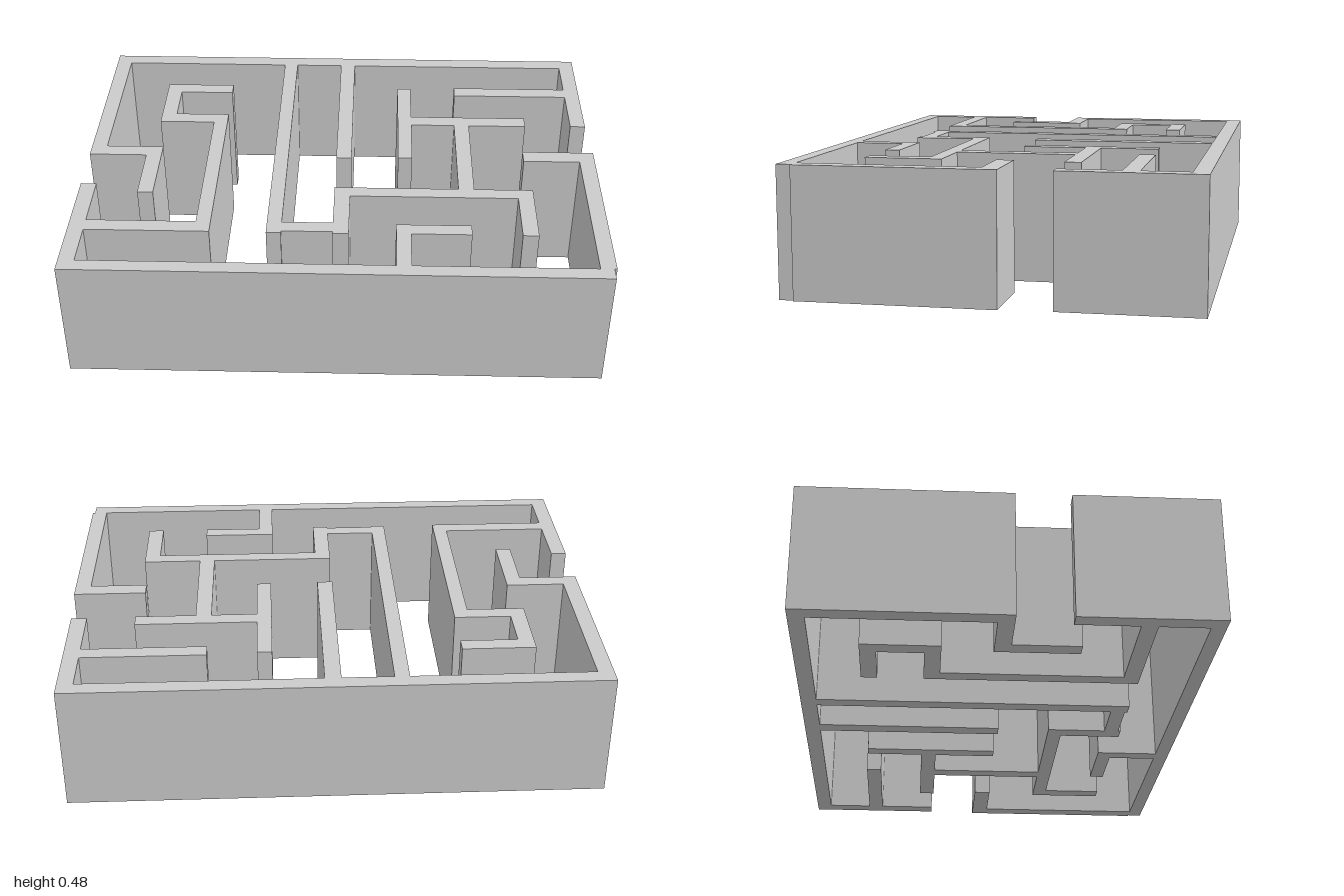
import * as THREE from 'three';

const HEIGHT = 0.48;

// Each wall is a run of straight segments given as [x0, x1, z0, z1].
// Segments meet face to face so that no tops overlap.
const WALLS = {
  backWall: [[-1, 0.99, -0.75, -0.69]],
  frontWall: [[-1, 0.99, 0.69, 0.745]],
  rightBackWall: [
    [-1, -0.94, -0.69, 0.02],
    [-0.94, -0.715, -0.04, 0.02],
    [-0.775, -0.715, 0.02, 0.27],
  ],
  rightFrontWall: [[-1, -0.94, 0.22, 0.69]],
  rightWindingWall: [
    [-0.75, -0.475, -0.515, -0.455],
    [-0.75, -0.69, -0.455, -0.225],
    [-0.69, -0.475, -0.285, -0.225],
    [-0.53, -0.475, -0.225, 0.51],
    [-0.94, -0.53, 0.45, 0.51],
  ],
  longMiddleWall: [
    [-0.265, -0.21, -0.69, 0.51],
    [-0.21, -0.02, 0.445, 0.5],
    [-0.02, 0.04, 0.275, 0.51],
    [-0.02, 0.74, 0.22, 0.275],
    [0.68, 0.74, 0.275, 0.505],
  ],
  shortMiddleWall: [[-0.02, 0.04, -0.69, 0.02]],
  branchWall: [
    [0.455, 0.515, -0.225, 0.22],
    [0.28, 0.745, -0.285, -0.225],
    [0.225, 0.28, -0.505, 0.015],
  ],
  leftBackWall: [
    [0.93, 0.99, -0.69, -0.23],
    [0.465, 0.93, -0.515, -0.455],
  ],
  leftFrontWall: [
    [0.72, 1, -0.04, 0.025],
    [0.94, 1, 0.025, 0.69],
  ],
  frontHookWall: [
    [0.215, 0.27, 0.45, 0.69],
    [0.27, 0.495, 0.45, 0.505],
  ],
};

export function createModel() {
  const maze = new THREE.Group();
  maze.name = 'maze';
  const material = new THREE.MeshStandardMaterial({ color: 0xcccccc, flatShading: true });

  for (const [name, segments] of Object.entries(WALLS)) {
    const wall = new THREE.Group();
    wall.name = name;
    segments.forEach(([x0, x1, z0, z1], i) => {
      const segment = new THREE.Mesh(new THREE.BoxGeometry(x1 - x0, HEIGHT, z1 - z0), material);
      segment.name = `${name}Segment${i + 1}`;
      segment.position.set((x0 + x1) / 2, HEIGHT / 2, (z0 + z1) / 2);
      wall.add(segment);
    });
    maze.add(wall);
  }
  return maze;
}
